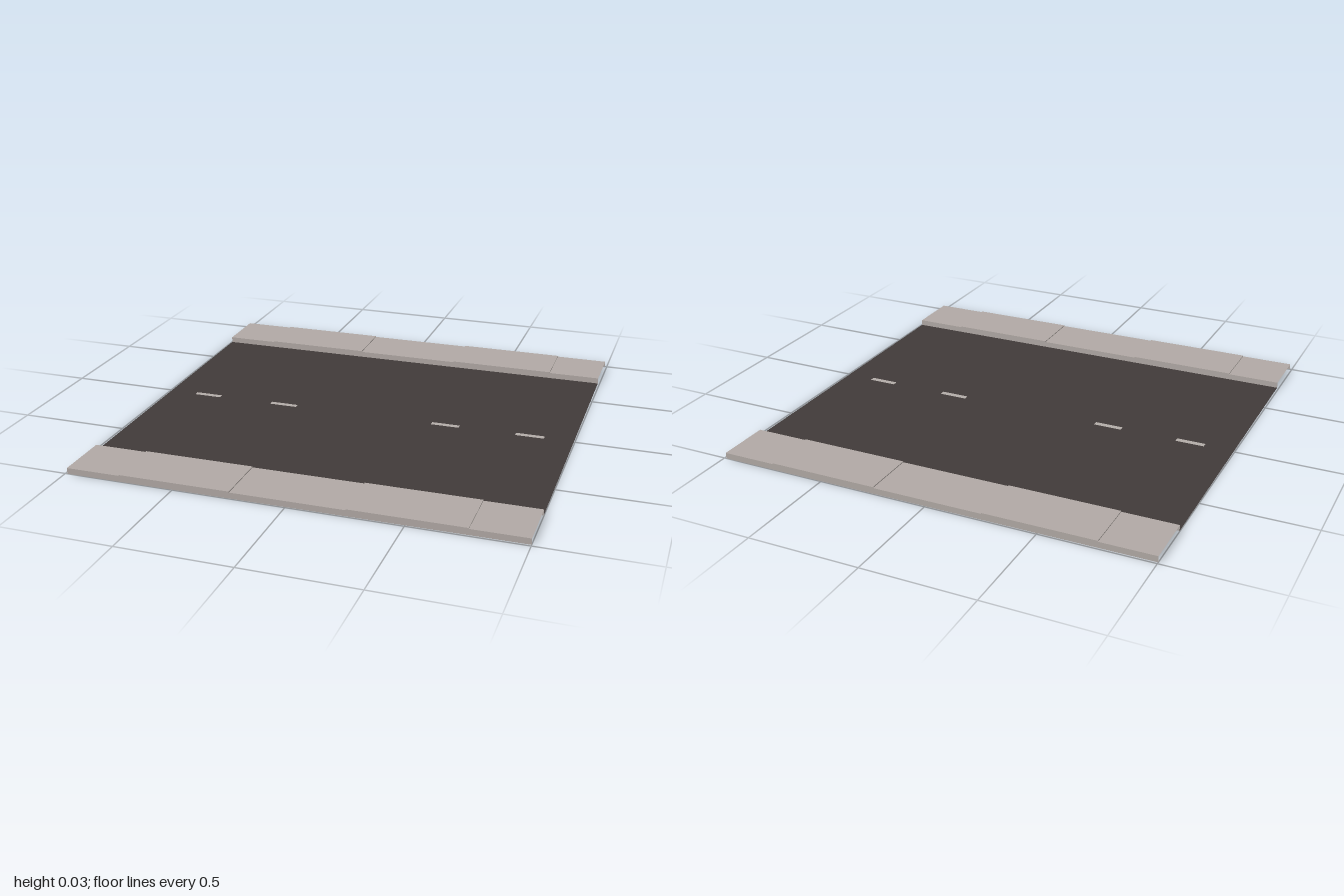
import * as THREE from 'three';

const HALF = 0.995;   // half size of the square tile
const INNER = 0.745;  // distance from the centre line to the kerb
const LOW = 0.027, HIGH = 0.031;

export function createModel() {
  const tile = new THREE.Group();
  tile.name = 'roadTile';

  const material = (name, color) =>
    new THREE.MeshStandardMaterial({ name, color, side: THREE.DoubleSide });
  const asphalt = material('asphalt', 0x413b3a);
  const concrete = material('concrete', 0xb2aaa6);
  const paint = material('roadPaint', 0xb5aeaa);

  // Flat sheet facing up by default, or along z / x
  const sheet = (parent, name, mat, w, h, pos, rot = [-Math.PI / 2, 0, 0]) => {
    const mesh = new THREE.Mesh(new THREE.PlaneGeometry(w, h), mat);
    mesh.name = name;
    mesh.position.set(...pos);
    mesh.rotation.set(...rot);
    parent.add(mesh);
  };

  // Carriageway
  sheet(tile, 'roadSurface', asphalt, 2 * HALF, 2 * INNER, [0, 0, 0]);

  // Centre line dashes
  for (const x of [-0.795, -0.4, 0.4, 0.795])
    sheet(tile, 'centreDash', paint, 0.132, 0.026, [x, 0.002, 0]);

  // Pavements: hollow slabs, open below and at the ends, alternating in height
  const joints = [-HALF, -0.75, -0.25, 0.25, 0.75, HALF];
  const width = HALF - INNER;
  const middle = (HALF + INNER) / 2;
  for (const side of [1, -1]) {
    const pavement = new THREE.Group();
    pavement.name = side > 0 ? 'frontPavement' : 'backPavement';
    for (let i = 0; i < joints.length - 1; i++) {
      const length = joints[i + 1] - joints[i];
      const x = (joints[i] + joints[i + 1]) / 2;
      const y = i % 2 ? HIGH : LOW;
      const outward = [0, side > 0 ? 0 : Math.PI, 0];
      const inward = [0, side > 0 ? Math.PI : 0, 0];
      sheet(pavement, 'slabTop', concrete, length, width, [x, y, side * middle]);
      sheet(pavement, 'outerEdge', concrete, length, y, [x, y / 2, side * HALF], outward);
      sheet(pavement, 'kerb', concrete, length, y, [x, y / 2, side * INNER], inward);
      // Small riser where neighbouring slabs differ in height
      if (i > 0)
        sheet(pavement, 'slabStep', concrete, width, HIGH - LOW,
          [joints[i], (HIGH + LOW) / 2, side * middle],
          [0, (i % 2 ? -1 : 1) * Math.PI / 2, 0]);
    }
    tile.add(pavement);
  }

  // The tile lies very slightly askew
  tile.rotation.y = 0.005;
  const model = new THREE.Group();
  model.name = 'road';
  model.add(tile);
  return model;
}
